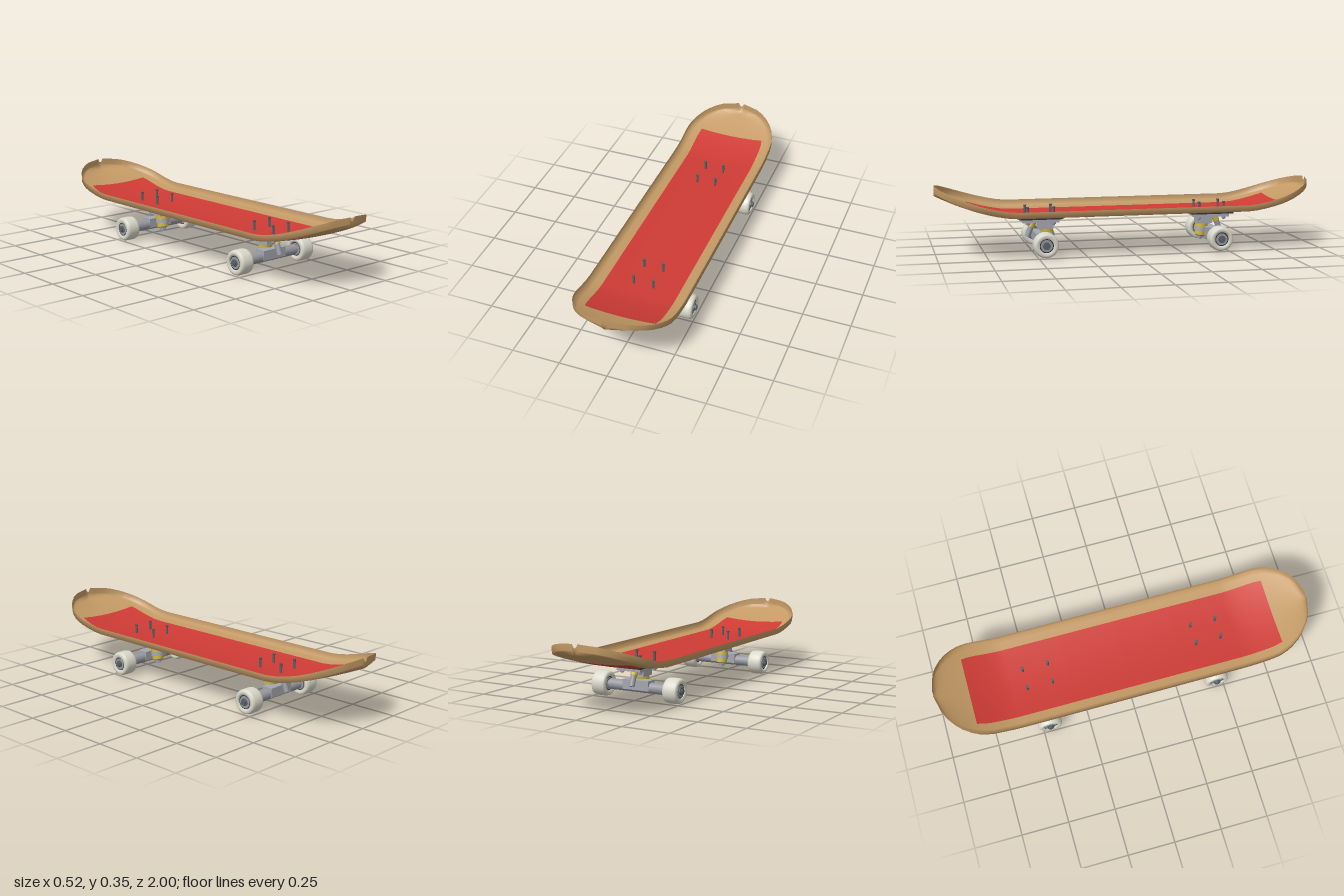
import * as THREE from 'three';

const mat = (name, color, side = THREE.FrontSide) => {
  const m = new THREE.MeshStandardMaterial({ color, side });
  m.name = name;
  return m;
};

export function createModel() {
  const wood = mat('wood', 0xc49a65, THREE.DoubleSide);
  const red = mat('red stain', 0xcf3b35, THREE.DoubleSide);
  const rubber = mat('dark rubber', 0x35353a);
  const alloy = mat('light alloy', 0xa6a6ae);
  const steel = mat('axle metal', 0x9799a1);
  const bolt = mat('dark steel', 0x5a6266);
  const brass = mat('brass yellow', 0xccb53c);
  const urethane = mat('off white', 0xdbd9cb);

  const model = new THREE.Group();
  model.name = 'skateboard';

  const add = (parent, name, geo, material, x = 0, y = 0, z = 0) => {
    const m = new THREE.Mesh(geo, material);
    m.name = name;
    m.position.set(x, y, z);
    parent.add(m);
    return m;
  };
  // Cylinder between two points of the x = 0 plane, given as [y, z]
  const rod = (parent, name, a, b, r, material, sides = 24) => {
    const p = new THREE.Vector3(0, ...a), q = new THREE.Vector3(0, ...b);
    const dir = q.clone().sub(p);
    const m = add(parent, name, new THREE.CylinderGeometry(r, r, dir.length(), sides), material);
    m.position.copy(p).add(q).multiplyScalar(0.5);
    m.quaternion.setFromUnitVectors(new THREE.Vector3(0, 1, 0), dir.normalize());
    return m;
  };
  // Cylinder along x
  const across = (parent, name, x0, x1, r, material, sides = 24) => {
    const g = new THREE.CylinderGeometry(r, r, Math.abs(x1 - x0), sides).rotateZ(Math.PI / 2);
    return add(parent, name, g, material, (x0 + x1) / 2);
  };

  // ---- Deck: concave sheet with upturned round ends and a standing rim, open on top ----
  const half = [0.25, 0.5, 0.75, 0.9, 1];
  const us = [...half.map(u => -u).reverse(), 0, ...half];
  const zHalf = [0.3, 0.6, 0.65, 0.7, 0.75, 0.79, 0.825, 0.86, 0.9, 0.93, 0.96, 0.98, 1];
  const zs = [...zHalf.map(z => -z).reverse(), 0, ...zHalf];
  const n = us.length, rows = zs.length, rim = 0.032;
  const width = z => {
    const t = Math.max(0, (Math.abs(z) - 0.75) / 0.25);
    return Math.max(0.015, 0.254 * Math.sqrt(Math.max(0, 1 - t * t)));
  };
  const rise = z => 0.115 * Math.pow(Math.max(0, (Math.abs(z) - 0.6) / 0.4), 1.55);
  const pos = [];
  for (const z of zs) {
    for (const u of us) pos.push(u * width(z), 0.188 + rise(z) + 0.02 * u * u, z);
  }
  const woodIdx = [], redIdx = [];
  for (let i = 0; i < rows - 1; i++) {
    for (let j = 0; j < n - 1; j++) {
      const a = i * n + j, b = a + 1, c = a + n, d = c + 1;
      const stained = Math.max(Math.abs(us[j]), Math.abs(us[j + 1])) <= 0.75
        && Math.max(Math.abs(zs[i]), Math.abs(zs[i + 1])) <= 0.825;
      (stained ? redIdx : woodIdx).push(a, b, c, b, d, c);
    }
  }
  // Rim: walk round the outline and raise a wall from each edge point
  const edge = [];
  for (let j = 0; j < n - 1; j++) edge.push((rows - 1) * n + j);
  for (let i = rows - 1; i > 0; i--) edge.push(i * n + n - 1);
  for (let j = n - 1; j > 0; j--) edge.push(j);
  for (let i = 0; i < rows - 1; i++) edge.push(i * n);
  const firstTop = rows * n;
  for (const e of edge) pos.push(pos[e * 3], pos[e * 3 + 1] + rim, pos[e * 3 + 2]);
  edge.forEach((e, k) => {
    const k2 = (k + 1) % edge.length;
    woodIdx.push(e, edge[k2], firstTop + k, edge[k2], firstTop + k2, firstTop + k);
  });
  const deck = new THREE.BufferGeometry();
  deck.setAttribute('position', new THREE.Float32BufferAttribute(pos, 3));
  deck.setIndex([...woodIdx, ...redIdx]);
  deck.addGroup(0, woodIdx.length, 0);
  deck.addGroup(woodIdx.length, redIdx.length, 1);
  deck.computeVertexNormals();
  add(model, 'deck', deck, [wood, red]);

  // ---- Wheel profile: rounded tread with a bore ----
  const tread = [[0.036, -0.036], [0.046, -0.04], [0.055, -0.039], [0.061, -0.034], [0.064, -0.022],
    [0.064, 0.022], [0.061, 0.034], [0.055, 0.039], [0.046, 0.04], [0.036, 0.036], [0.036, -0.036]];
  const wheelGeo = new THREE.LatheGeometry(tread.map(p => new THREE.Vector2(...p)), 32).rotateZ(Math.PI / 2);

  // ---- Trucks: local +z points to the near end of the board ----
  const makeTruck = name => {
    const t = new THREE.Group();
    t.name = name;
    add(t, 'riserPad', new THREE.BoxGeometry(0.164, 0.013, 0.23), rubber, 0, 0.181);
    add(t, 'basePlate', new THREE.BoxGeometry(0.138, 0.018, 0.19), alloy, 0, 0.166);
    add(t, 'kingpinBoss', new THREE.BoxGeometry(0.072, 0.04, 0.08), alloy, 0, 0.138, -0.03);

    // Kingpin stack, measured along a slightly tilted axis
    const kp = y => [y, -0.032 - (0.15 - y) * 0.16];
    rod(t, 'upperBushing', kp(0.119), kp(0.096), 0.034, brass);
    rod(t, 'hangerSeat', kp(0.096), kp(0.075), 0.037, alloy);
    rod(t, 'lowerBushing', kp(0.075), kp(0.054), 0.03, brass);
    rod(t, 'washer', kp(0.054), kp(0.049), 0.026, bolt);
    rod(t, 'kingpinNut', kp(0.049), kp(0.037), 0.018, steel, 6);
    rod(t, 'kingpin', kp(0.12), kp(0.031), 0.012, steel);

    // Pivot
    rod(t, 'pivotCup', [0.16, 0.03], [0.129, 0.044], 0.018, brass);
    rod(t, 'pivotRod', [0.131, 0.043], [0.076, 0.064], 0.0145, steel);

    // Hanger and axle
    add(t, 'hangerBlock', new THREE.BoxGeometry(0.15, 0.05, 0.06), alloy, 0, 0.077);
    const axle = new THREE.Group();
    axle.name = 'axleAssembly';
    axle.position.y = 0.065;
    t.add(axle);
    across(axle, 'hangerTube', -0.162, 0.162, 0.0275, steel, 20);
    across(axle, 'axle', -0.258, 0.258, 0.008, bolt, 12);
    for (const s of [-1, 1]) {
      add(axle, 'wheel', wheelGeo, urethane, s * 0.208);
      across(axle, 'wheelCore', s * 0.175, s * 0.241, 0.037, rubber);
      across(axle, 'bearing', s * 0.173, s * 0.243, 0.031, steel);
      across(axle, 'spacer', s * 0.16, s * 0.175, 0.019, steel);
      across(axle, 'axleWasher', s * 0.242, s * 0.248, 0.019, bolt);
      across(axle, 'axleNut', s * 0.247, s * 0.256, 0.0145, bolt, 6);
    }

    // Mounting bolts standing through the deck
    for (const x of [-0.052, 0.052]) for (const z of [-0.068, 0.068]) {
      add(t, 'mountingBolt', new THREE.CylinderGeometry(0.0065, 0.0065, 0.09, 12), bolt, x, 0.188, z);
      add(t, 'boltHead', new THREE.CylinderGeometry(0.009, 0.0065, 0.009, 12), bolt, x, 0.2335, z);
      add(t, 'mountingNut', new THREE.CylinderGeometry(0.011, 0.011, 0.011, 6), steel, x, 0.152, z);
    }
    return t;
  };
  const front = makeTruck('frontTruck');
  front.position.z = 0.46;
  const back = makeTruck('backTruck');
  back.position.z = -0.46;
  back.rotation.y = Math.PI;
  model.add(front, back);

  return model;
}
